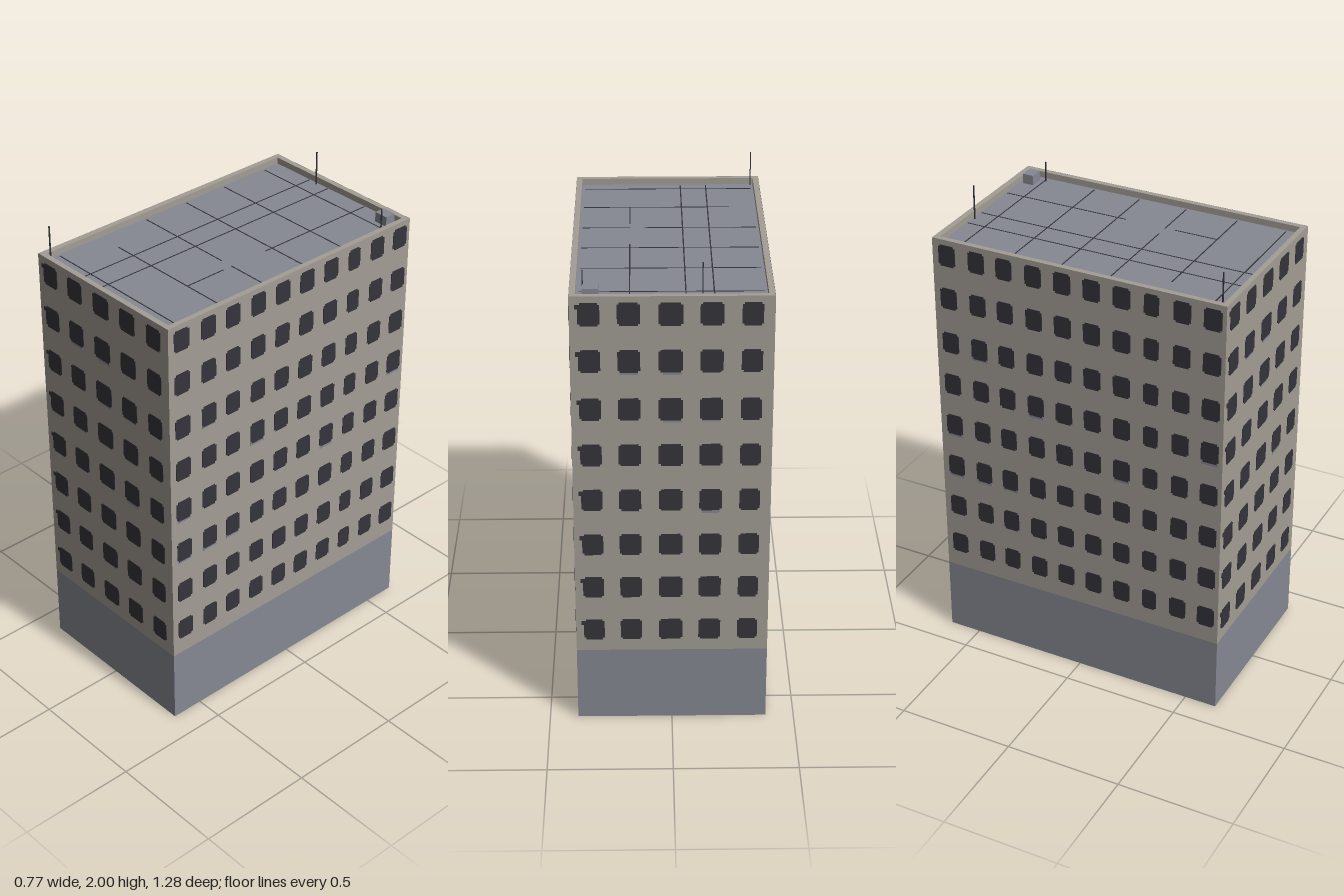
import * as THREE from 'three';

const W = 0.77, D = 1.276, H = 1.88, BASE = 0.325, ROOF = 1.853;

function material(name, color, side = THREE.FrontSide) {
  const m = new THREE.MeshStandardMaterial({ color, side });
  m.name = name;
  return m;
}

// Window outline with stepped corners; optional tab at the upper left
function windowShape(w, h, tab) {
  const x = w / 2, y = h / 2, c = 0.008;
  const pts = [[-x + c, -y], [x - c, -y], [x - c, -y + c], [x, -y + c], [x, y - c], [x - c, y - c], [x - c, y], [-x + c, y]];
  if (tab) pts.push([-x + c, y - c], [-x - 0.01, y - c], [-x - 0.01, y - 0.026], [-x, y - 0.026]);
  else pts.push([-x + c, y - c], [-x, y - c]);
  pts.push([-x, -y + c], [-x + c, -y + c]);
  return new THREE.Shape(pts.map(p => new THREE.Vector2(...p)));
}

export function createModel() {
  const model = new THREE.Group();
  model.name = 'towerBlock';
  const wallMat = material('beigeWall', 0xa39e95, THREE.DoubleSide);
  const greyMat = material('blueGrey', 0x858992, THREE.DoubleSide);
  const darkMat = material('darkGlass', 0x35343b);

  const add = (parent, name, geo, mat, x, y, z) => {
    const mesh = new THREE.Mesh(geo, mat);
    mesh.name = name;
    mesh.position.set(x, y, z);
    parent.add(mesh);
    return mesh;
  };

  // One facade: wall sheet, base band, windows and stains, showing on both sides
  function facade(name, width, dist, angle, cols, widths, rows, h, stains) {
    const g = new THREE.Group();
    g.name = name;
    g.rotation.y = angle;
    add(g, 'wall', new THREE.PlaneGeometry(width, H - BASE), wallMat, 0, (H + BASE) / 2, dist);
    add(g, 'baseBand', new THREE.PlaneGeometry(width, BASE), greyMat, 0, BASE / 2, dist);
    cols.forEach((x, i) => {
      const geo = new THREE.ExtrudeGeometry(windowShape(widths[i], h, i === 0 && cols.length === 5),
        { depth: 0.004, bevelEnabled: false });
      rows.forEach(y => add(g, 'window', geo, darkMat, x, y, dist - 0.002));
    });
    stains.forEach(([x, y]) => add(g, 'stain', new THREE.BoxGeometry(0.07, 0.018, 0.002), greyMat, x, y, dist));
    model.add(g);
  }

  const endCols = [-0.312, -0.163, -0.005, 0.15, 0.302];
  const endWidths = [0.083, 0.086, 0.093, 0.088, 0.08];
  const endRows = [1.808, 1.615, 1.413, 1.216, 1.018, 0.818, 0.622, 0.424];
  const endStains = [[-0.163, 0.975], [0.15, 0.968], [0.15, 1.368], [0, 1.366], [-0.163, 1.568], [0, 1.566]];
  const sideCols = [-0.573, -0.44, -0.316, -0.186, -0.058, 0.07, 0.2, 0.327, 0.456, 0.583];
  const sideWidths = [0.075, 0.073, 0.072, 0.073, 0.075, 0.075, 0.075, 0.064, 0.073, 0.076];
  const sideRows = [1.812, 1.622, 1.422, 1.229, 1.036, 0.838, 0.638, 0.446];
  const sideStains = [[-0.573, 0.99], [-0.573, 0.792], [-0.44, 0.792], [-0.316, 0.792], [-0.44, 1.378],
    [0.583, 1.182], [-0.186, 1.182], [0.2, 0.988]];

  // Opposite facades repeat with a half turn
  for (const [i, tag] of ['front', 'back'].entries())
    facade(tag + 'Facade', W, D / 2, i * Math.PI, endCols, endWidths, endRows, 0.094, endStains);
  for (const [i, tag] of ['right', 'left'].entries())
    facade(tag + 'Facade', D, W / 2, Math.PI / 2 + i * Math.PI, sideCols, sideWidths, sideRows, 0.092, sideStains);

  // Roof deck and parapet
  add(model, 'roofDeck', new THREE.PlaneGeometry(W - 0.01, D - 0.01), greyMat, 0, ROOF, 0).rotation.x = -Math.PI / 2;
  const rect = (C, x, z) => new C([[-x, -z], [x, -z], [x, z], [-x, z]].map(p => new THREE.Vector2(...p)));
  const rim = rect(THREE.Shape, W / 2 - 0.001, D / 2 - 0.001);
  rim.holes.push(rect(THREE.Path, W / 2 - 0.024, D / 2 - 0.024));
  const rimGeo = new THREE.ExtrudeGeometry(rim, { depth: H - ROOF, bevelEnabled: false });
  add(model, 'parapet', rimGeo, wallMat, 0, ROOF, 0).rotation.x = -Math.PI / 2;

  // Thin seams on the roof: [x0, x1, z0, z1]
  const seams = [[-0.163, -0.158, -0.61, 0.6], [-0.056, -0.051, -0.61, 0.6],
    [0.156, 0.161, -0.61, -0.06], [0.156, 0.161, 0.16, 0.345],
    [-0.35, 0.1, 0.115, 0.12], [0.156, 0.35, 0.115, 0.12], [-0.25, 0.35, 0.343, 0.348]];
  for (const z of [-0.533, -0.306, -0.098, 0.557]) seams.push([-0.35, 0.35, z, z + 0.005]);
  for (const [a, b, c, d] of seams)
    add(model, 'roofSeam', new THREE.BoxGeometry(b - a, 0.001, d - c), darkMat, (a + b) / 2, ROOF + 0.0005, (c + d) / 2);

  // Rooftop unit and masts
  add(model, 'roofUnit', new THREE.BoxGeometry(0.061, 0.042, 0.047), greyMat, 0.305, ROOF + 0.021, -0.577);
  for (const [x, z, top] of [[-0.35, 0.604, 2], [-0.115, -0.603, 2], [0.335, -0.525, 1.94]])
    add(model, 'mast', new THREE.BoxGeometry(0.004, top - ROOF, 0.005), darkMat, x, (top + ROOF) / 2, z);

  return model;
}
